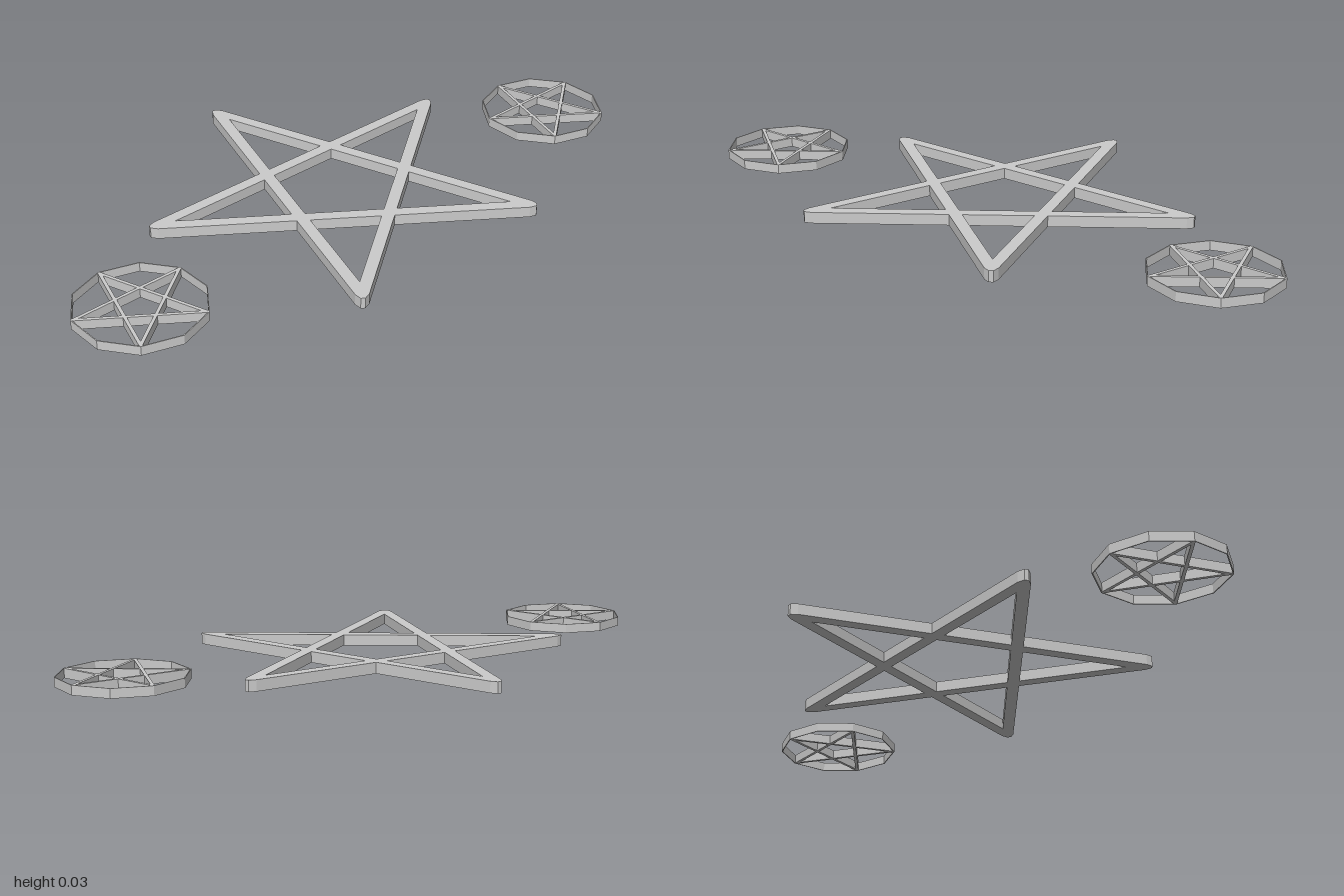
import * as THREE from 'three';

const material = new THREE.MeshStandardMaterial({ color: 0xcccccc, flatShading: true });
const DEG = Math.PI / 180;

// Point at distance u along the direction of an angle and v across it.
const polar = (angle, u, v = 0) => new THREE.Vector2(
  u * Math.cos(angle) - v * Math.sin(angle),
  u * Math.sin(angle) + v * Math.cos(angle)
);

// Lay a flat shape on the ground and give it height; the shape's +y points to the back.
function slab(name, shape, bottom, height) {
  const geometry = new THREE.ExtrudeGeometry(shape, { depth: height, bevelEnabled: false });
  geometry.rotateX(-Math.PI / 2);
  geometry.translate(0, bottom, 0);
  const mesh = new THREE.Mesh(geometry, material);
  mesh.name = name;
  return mesh;
}

// Five crossing bars of half width h, joined at blunt tips of radius R.
function starShape(R, h) {
  const d = R * Math.cos(72 * DEG); // distance from the centre to each bar
  const outline = [], core = [], holes = [];
  for (let i = 0; i < 5; i++) {
    const a = (90 + 72 * i) * DEG;
    const half = h / Math.cos(18 * DEG);
    outline.push(
      polar(a, R, -half), polar(a, R + h, -0.35 * h),
      polar(a, R + h, 0.35 * h), polar(a, R, half),
      polar(a + 36 * DEG, (d + h) / Math.cos(36 * DEG))
    );
    core.push(polar(a + 36 * DEG, (d - h) / Math.cos(36 * DEG)));
    // triangular opening inside the arm
    const apex = R - h / Math.sin(18 * DEG), base = d + h;
    const w = (apex - base) * Math.tan(18 * DEG);
    holes.push([polar(a, apex), polar(a, base, w), polar(a, base, -w)]);
  }
  const shape = new THREE.Shape(outline);
  shape.holes = [core, ...holes].map((points) => new THREE.Path(points));
  return shape;
}

// Thin ten-sided band.
function ringShape(R, thickness) {
  const circle = (r) => Array.from({ length: 10 }, (_, i) => polar((90 + 36 * i) * DEG, r));
  const shape = new THREE.Shape(circle(R));
  shape.holes.push(new THREE.Path(circle(R - thickness)));
  return shape;
}

export function createModel() {
  const model = new THREE.Group();
  model.name = 'starSet';

  // Large open star
  const largeStar = slab('largeStar', starShape(0.582, 0.0185), 0, 0.034);
  largeStar.position.z = 0.051;
  model.add(largeStar);

  // Small ringed stars on both sides
  for (const [side, name] of [[1, 'left'], [-1, 'right']]) {
    const medallion = new THREE.Group();
    medallion.name = name + 'Medallion';
    medallion.add(
      slab(name + 'Ring', ringShape(0.195, 0.003), 0.004, 0.029),
      slab(name + 'SmallStar', starShape(0.188, 0.005), 0.004, 0.029)
    );
    medallion.position.set(side * 0.8145, 0, 0.147);
    model.add(medallion);
  }
  return model;
}
